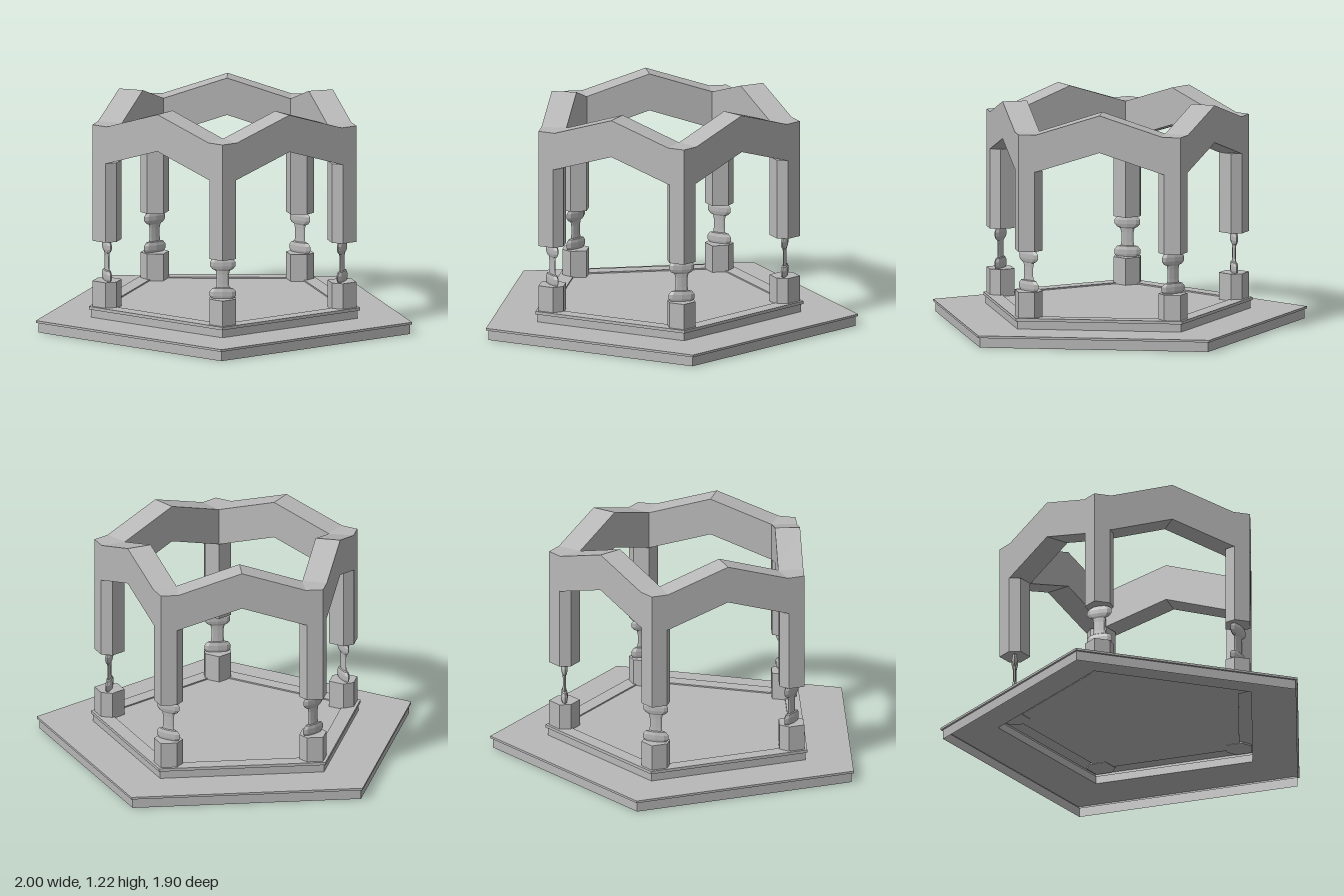
import * as THREE from 'three';

const SIDES = 5;
const STEP = (Math.PI * 2) / SIDES;
const V = (x, y, z) => new THREE.Vector3(x, y, z);

// Joins closed loops of points into a flat-faced surface.
function loft(loops, capStart, capEnd) {
  const pos = [];
  const tri = (...pts) => pts.forEach((p) => pos.push(p.x, p.y, p.z));
  const n = loops[0].length;
  for (let i = 0; i < loops.length - 1; i++) {
    for (let j = 0; j < n; j++) {
      const k = (j + 1) % n;
      const a = loops[i], b = loops[i + 1];
      tri(a[j], a[k], b[k]);
      tri(a[j], b[k], b[j]);
    }
  }
  const first = loops[0], last = loops[loops.length - 1];
  for (let j = 1; j < n - 1; j++) {
    if (capStart) tri(first[0], first[j + 1], first[j]);
    if (capEnd) tri(last[0], last[j], last[j + 1]);
  }
  const geo = new THREE.BufferGeometry();
  geo.setAttribute('position', new THREE.Float32BufferAttribute(pos, 3));
  geo.computeVertexNormals();
  return geo;
}

// Pentagon outline with one corner pointing to the back.
function pentagon(r, y) {
  return Array.from({ length: SIDES }, (_, k) => {
    const a = Math.PI + k * STEP;
    return V(Math.sin(a) * r, y, Math.cos(a) * r);
  });
}

// Six-sided column whose outer edge follows the pentagon corner.
function column(y0, y1) {
  const section = [[0, 0.738], [0.07, 0.687], [0.07, 0.626],
    [0, 0.575], [-0.07, 0.626], [-0.07, 0.687]];
  const loop = (y) => section.map(([x, z]) => V(x, y, z));
  return loft([loop(y0), loop(y1)], true, true);
}

// Peaked beam spanning two corners, mitred at its ends.
function archBeam() {
  const zOut = 0.738 * Math.cos(STEP / 2);
  const zIn = 0.573 * Math.cos(STEP / 2);
  const xOut = 0.738 * Math.sin(STEP / 2);
  const xIn = 0.573 * Math.sin(STEP / 2);
  const stations = [[-xOut, -xIn, 0.91], [-0.34, -xIn + 0.002, 0.91],
    [0, 0, 1.02], [0.34, xIn - 0.002, 0.91], [xOut, xIn, 0.91]];
  return loft(stations.map(([xo, xi, y]) => [
    V(xi, y + 0.2, zIn), V(xo, y + 0.2, zOut), V(xo, y, zOut), V(xi, y, zIn),
  ]), false, false);
}

// Turned baluster, flattened in depth.
function baluster() {
  const profile = [[0.035, 0.255], [0.057, 0.258], [0.07, 0.275], [0.07, 0.298],
    [0.055, 0.316], [0.036, 0.32], [0.033, 0.34], [0.033, 0.39], [0.038, 0.412],
    [0.055, 0.42], [0.068, 0.436], [0.068, 0.458], [0.055, 0.474], [0.03, 0.484]];
  const geo = new THREE.LatheGeometry(profile.map(([r, y]) => new THREE.Vector2(r, y)), 8);
  geo.scale(1, 1, 0.26);
  geo.translate(0, 0, 0.657);
  const flat = geo.toNonIndexed();
  flat.computeVertexNormals();
  return flat;
}

export function createModel() {
  const stone = new THREE.MeshStandardMaterial({
    color: 0xb8b8b8, flatShading: true, side: THREE.DoubleSide,
  });
  const model = new THREE.Group();
  model.name = 'pentagonPavilion';
  model.position.z = 0.1;

  const add = (parent, name, geo) => {
    const mesh = new THREE.Mesh(geo, stone);
    mesh.name = name;
    parent.add(mesh);
  };

  // Hollow stepped platform, each step with a thin overhanging lip
  const rings = (list) => list.map(([r, y]) => pentagon(r, y));
  add(model, 'lowerStep', loft(rings([[1.038, 0], [1.038, 0.053],
    [1.0515, 0.053], [1.0515, 0.065], [0.745, 0.065]]), false, false));
  add(model, 'upperStep', loft(rings([[0.745, 0.065], [0.745, 0.108],
    [0.757, 0.108], [0.757, 0.124], [0.66, 0.124], [0.66, 0.117]]), false, true));

  // Columns and arches repeated around the pentagon
  const pedestalGeo = column(0.115, 0.262);
  const postGeo = column(0.48, 0.91);
  const balusterGeo = baluster();
  const beamGeo = archBeam();
  for (let k = 0; k < SIDES; k++) {
    const corner = new THREE.Group();
    corner.name = 'column';
    corner.rotation.y = Math.PI + k * STEP;
    add(corner, 'pedestal', pedestalGeo);
    add(corner, 'baluster', balusterGeo);
    add(corner, 'post', postGeo);
    model.add(corner);

    const side = new THREE.Group();
    side.name = 'arch';
    side.rotation.y = Math.PI + (k + 0.5) * STEP;
    add(side, 'archBeam', beamGeo);
    model.add(side);
  }

  const root = new THREE.Group();
  root.name = 'pavilion';
  root.add(model);
  return root;
}
